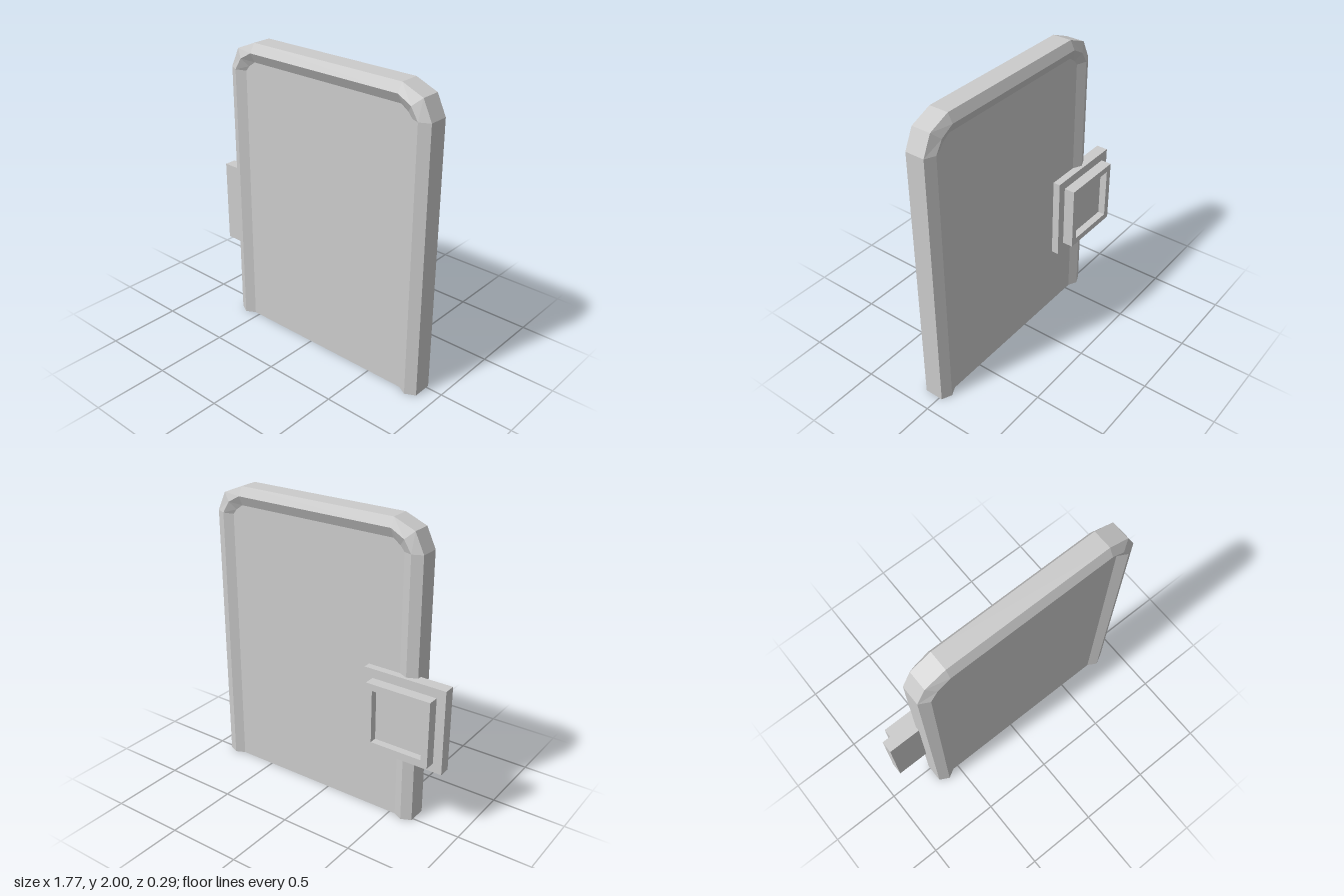
import * as THREE from 'three';

const material = new THREE.MeshStandardMaterial({ color: 0xcccccc, flatShading: true });

function addMesh(parent, name, geometry, x = 0, y = 0, z = 0) {
  const mesh = new THREE.Mesh(geometry, material);
  mesh.name = name;
  mesh.position.set(x, y, z);
  parent.add(mesh);
  return mesh;
}

const CX = 0.108; // centre line of the door

// Arch outline from bottom left, over the top, to bottom right
function arch(half, top, shoulder, midX, midY) {
  const left = [[-half, 0], [-half, shoulder], [-midX, midY], [-0.57, top]];
  const right = left.map(([x, y]) => [-x, y]).reverse();
  return [...left, ...right].map(([x, y]) => [x + CX, y]);
}
const outer = arch(0.777, 2.0, 1.81, 0.715, 1.94);
const ridge = arch(0.71, 1.94, 1.81, 0.66, 1.89);
const inner = arch(0.648, 1.875, 1.805, 0.62, 1.84);

// Frame: six-sided profile swept along the arch, with capped feet
function frameGeometry() {
  const ring = [[outer, 0.11], [ridge, 0.145], [inner, 0.11], [inner, -0.02], [ridge, -0.05], [outer, -0.02]];
  const n = ring.length, last = outer.length - 1;
  const positions = [];
  const index = [];
  for (let i = 0; i <= last; i++) {
    for (const [outline, z] of ring) positions.push(...outline[i], z);
  }
  for (let i = 0; i < last; i++) {
    for (let j = 0; j < n; j++) {
      const k = (j + 1) % n;
      const a = i * n + j, b = i * n + k, c = (i + 1) * n + k, d = (i + 1) * n + j;
      index.push(a, b, c, a, c, d);
    }
  }
  for (let j = 1; j < n - 1; j++) {
    index.push(0, j + 1, j);
    index.push(last * n, last * n + j, last * n + j + 1);
  }
  const geometry = new THREE.BufferGeometry();
  geometry.setAttribute('position', new THREE.Float32BufferAttribute(positions, 3));
  geometry.setIndex(index);
  const flat = geometry.toNonIndexed();
  flat.computeVertexNormals();
  return flat;
}

function extrude(points, depth) {
  const shape = new THREE.Shape(points.map(([x, y]) => new THREE.Vector2(x, y)));
  return new THREE.ExtrudeGeometry(shape, { depth, bevelEnabled: false });
}

export function createModel() {
  const model = new THREE.Group();
  model.name = 'slidingDoor';

  addMesh(model, 'doorFrame', frameGeometry());

  // Two leaves meeting along a stepped seam
  const seam = [[0.2, 1.875], [0.2, 1.0], [0.01, 0.75], [0.01, 0]];
  const leaves = new THREE.Group();
  leaves.name = 'doorLeaves';
  addMesh(leaves, 'rightLeaf', extrude([...inner.slice(0, 4), ...seam], 0.13), 0, 0, -0.02);
  addMesh(leaves, 'leftLeaf', extrude([...inner.slice(4), ...seam.slice().reverse()], 0.13), 0, 0, -0.02);
  model.add(leaves);

  // Control panel on the back: mounting plate, raised rim and sunken screen
  const control = new THREE.Group();
  control.name = 'controlPanel';
  control.position.set(-0.602, 0.745, 0);
  addMesh(control, 'mountingPlate', new THREE.BoxGeometry(0.575, 0.575, 0.08), 0, 0, -0.03);

  const rim = new THREE.Shape();
  const w = 0.226, h = 0.181;
  rim.moveTo(-w, -w).lineTo(w, -w).lineTo(w, w).lineTo(-w, w).closePath();
  const hole = new THREE.Path();
  hole.moveTo(-h, -h).lineTo(-h, h).lineTo(h, h).lineTo(h, -h).closePath();
  rim.holes.push(hole);
  addMesh(control, 'screenRim', new THREE.ExtrudeGeometry(rim, { depth: 0.075, bevelEnabled: false }), 0, 0, -0.145);
  addMesh(control, 'screen', new THREE.BoxGeometry(2 * h, 2 * h, 0.025), 0, 0, -0.0825);
  model.add(control);

  return model;
}
